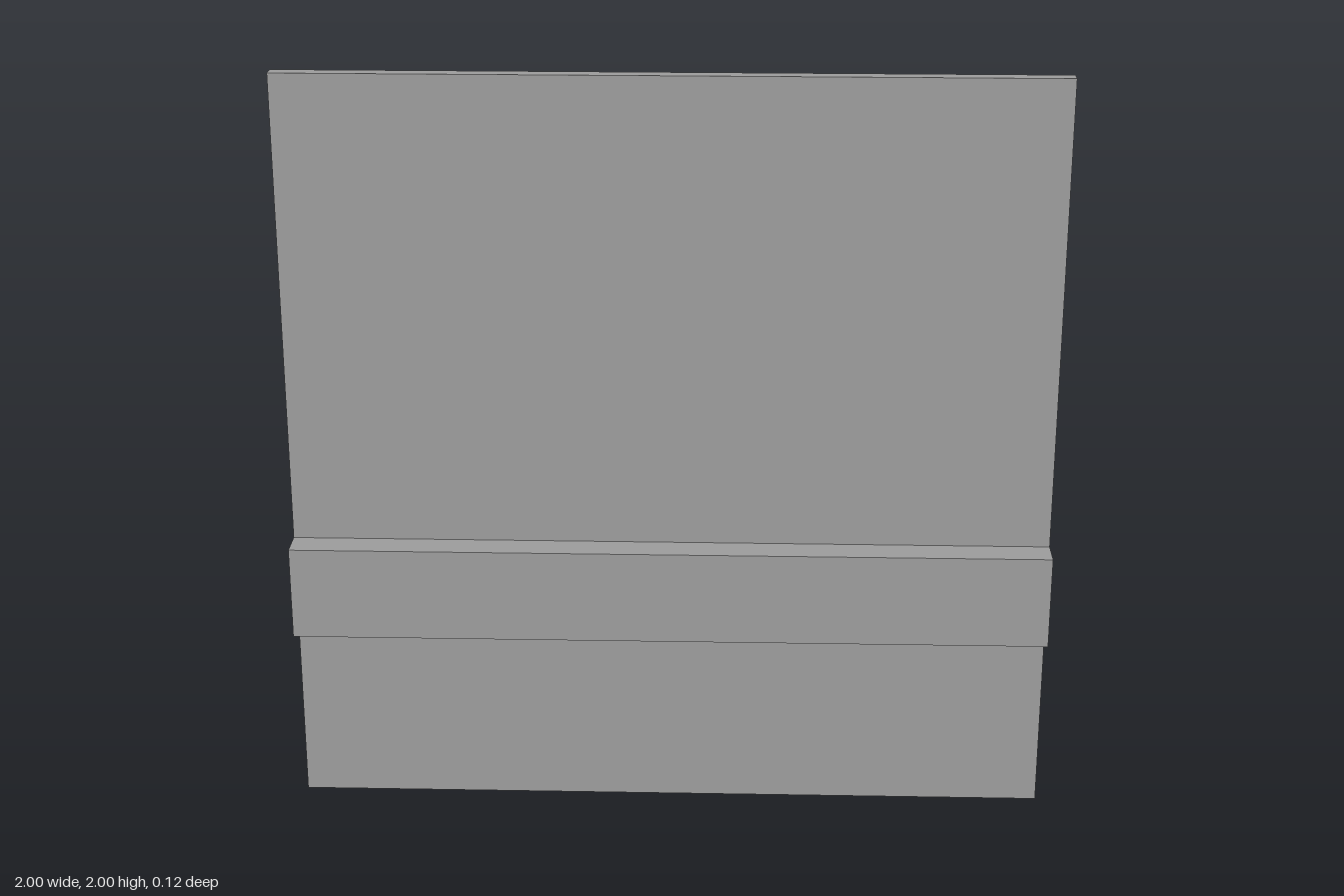
import * as THREE from 'three';

const material = new THREE.MeshStandardMaterial({ color: 0x9d9d9d });

// Full-width box given by its vertical and depth extents
function slab(name, y0, y1, z0, z1) {
  const mesh = new THREE.Mesh(new THREE.BoxGeometry(2, y1 - y0, z1 - z0), material);
  mesh.name = name;
  mesh.position.set(0, (y0 + y1) / 2, (z0 + z1) / 2);
  return mesh;
}

export function createModel() {
  const group = new THREE.Group();
  group.name = 'wallPanel';
  // Thin square panel at the back
  group.add(slab('panel', 0, 2, -0.0625, -0.0225));
  // Horizontal rail across its front
  group.add(slab('rail', 0.5, 0.75, -0.0225, 0.0625));
  return group;
}
